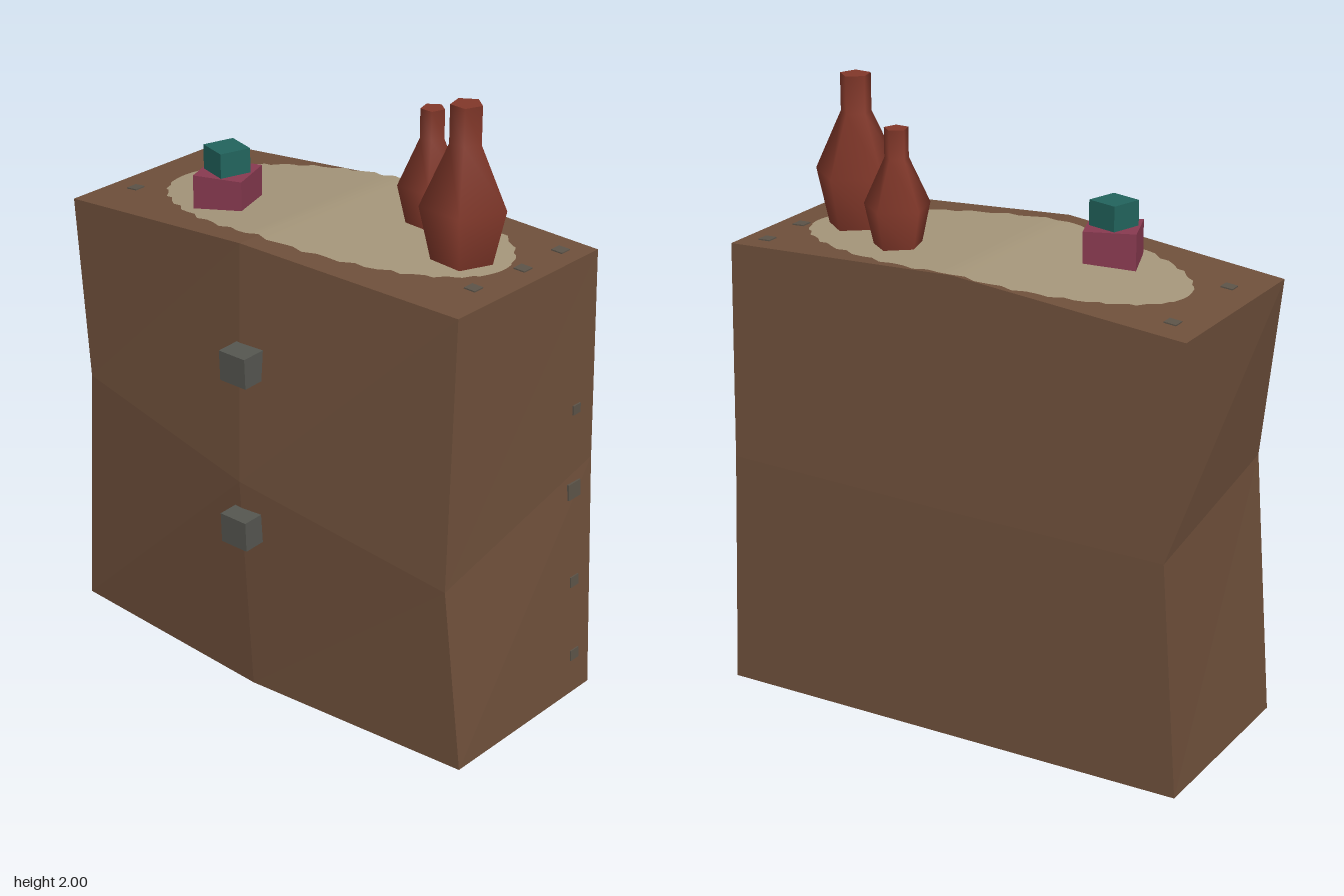
import * as THREE from 'three';

const mat = (name, color, extra = {}) => {
  const m = new THREE.MeshStandardMaterial({ color, ...extra });
  m.name = name;
  return m;
};

// Height of the sagging top, with its ridge near the middle
const RIDGE = -0.04;
const topY = (x) => x < RIDGE
  ? 1.53 - (RIDGE - x) * 0.097
  : 1.53 - (x - RIDGE) * 0.031;

export function createModel() {
  const wood = mat('wood', 0x6f503b, { side: THREE.DoubleSide });
  const cloth = mat('cloth', 0xa5967a, { side: THREE.DoubleSide });
  const clay = mat('clay', 0x82382a);
  const pink = mat('pink', 0x883a50);
  const teal = mat('teal', 0x22645d);
  const iron = mat('iron', 0x555650);
  const nailMetal = mat('nail metal', 0x5c5348);

  const model = new THREE.Group();
  const add = (name, geometry, material, x = 0, y = 0, z = 0, parent = model) => {
    const mesh = new THREE.Mesh(geometry, material);
    mesh.name = name;
    mesh.position.set(x, y, z);
    parent.add(mesh);
    return mesh;
  };

  // Cabinet: three warped rings (left front, mid front, right front, right back, mid back, left back)
  const rings = [
    [[-0.81, 0, 0.26], [0, 0, 0.315], [0.805, 0, 0.26], [0.805, 0, -0.41], [0, 0, -0.41], [-0.81, 0, -0.41]],
    [[-0.735, 0.86, 0.285], [0, 0.76, 0.368], [0.752, 0.62, 0.285],
      [0.76, 0.8, -0.428], [0, 0.78, -0.428], [-0.765, 0.77, -0.428]],
    [[-0.81, 0, 0.26], [RIDGE, 0, 0.308], [0.757, 0, 0.262], [0.757, 0, -0.41], [RIDGE, 0, -0.41], [-0.81, 0, -0.41]]
      .map(([x, , z]) => [x, topY(x), z]),
  ];
  const positions = [];
  const quad = (a, b, c, d) => positions.push(...a, ...b, ...c, ...a, ...c, ...d);
  for (let r = 0; r < 2; r++) {
    for (let i = 0; i < 6; i++) {
      const j = (i + 1) % 6;
      quad(rings[r][i], rings[r][j], rings[r + 1][j], rings[r + 1][i]);
    }
  }
  const t = rings[2];
  quad(t[0], t[1], t[4], t[5]);
  quad(t[1], t[2], t[3], t[4]);
  const body = new THREE.BufferGeometry();
  body.setAttribute('position', new THREE.Float32BufferAttribute(positions, 3));
  body.computeVertexNormals();
  add('cabinet', body, wood);

  // Ragged oval cloth, laid in strips that follow the top
  const clothPos = [], clothIdx = [], N = 48;
  for (let i = 0; i <= N; i++) {
    const c = -Math.cos((i / N) * Math.PI);
    const x = RIDGE + c * (c < 0 ? 0.615 : 0.69);
    const half = 0.322 * Math.sqrt(Math.max(0, 1 - c * c));
    const ragged = (k) => half + 0.009 * Math.sin(i * 2.3 + k) * (half > 0.05 ? 1 : 0);
    const y = topY(x) + 0.004;
    clothPos.push(x, y, -0.088 + ragged(0), x, y, -0.088 - ragged(2));
    if (i < N) {
      const k = i * 2;
      clothIdx.push(k, k + 2, k + 3, k, k + 3, k + 1);
    }
  }
  const clothGeo = new THREE.BufferGeometry();
  clothGeo.setAttribute('position', new THREE.Float32BufferAttribute(clothPos, 3));
  clothGeo.setIndex(clothIdx);
  clothGeo.computeVertexNormals();
  add('cloth', clothGeo, cloth);

  // Five-sided vases
  const profile = [[0.095, 0], [0.137, 0.185], [0.05, 0.375], [0.05, 0.495]]
    .map(([r, y]) => new THREE.Vector2(r, y));
  const vase = (name, x, z, scale, turn) => {
    const g = new THREE.Group();
    g.name = name;
    g.position.set(x, 1.505, z);
    g.scale.setScalar(scale);
    g.rotation.y = turn;
    add('vase body', new THREE.LatheGeometry(profile, 5), clay, 0, 0, 0, g);
    const cap = new THREE.CylinderGeometry(0.05, 0.05, 0.01, 5);
    add('vase top', cap, clay, 0, 0.49, 0, g);
    model.add(g);
  };
  vase('largeVase', 0.51, -0.07, 1, Math.PI - 0.07);
  vase('smallVase', 0.27, -0.215, 0.78, Math.PI - 0.04);

  // Stacked boxes
  add('lowerBox', new THREE.BoxGeometry(0.163, 0.13, 0.163), pink, -0.338, 1.545, 0.042).rotation.y = 0.34;
  add('upperBox', new THREE.BoxGeometry(0.106, 0.08, 0.106), teal, -0.338, 1.65, 0.044).rotation.y = -0.29;

  // Front knobs
  for (const [x, y, z] of [[0.015, 1.165, 0.358], [0.025, 0.615, 0.374]]) {
    add('knob', new THREE.BoxGeometry(0.104, 0.1, 0.1), iron, x, y, z).rotation.x = 0.04;
  }

  // Nail heads on the top and the left side
  for (const [x, z] of [[-0.71, -0.295], [-0.71, 0.08], [0.68, -0.325], [0.68, -0.14], [0.66, 0.07]]) {
    const nail = add('topNail', new THREE.BoxGeometry(0.04, 0.008, 0.04), nailMetal, x, topY(x), z);
    nail.rotation.z = x < RIDGE ? 0.097 : -0.031;
  }
  for (const [x, y, s] of [[0.797, 0.135, 0.04], [0.782, 0.4, 0.04], [0.765, 0.72, 0.06], [0.759, 1, 0.035]]) {
    add('sideNail', new THREE.BoxGeometry(0.009, s * 0.9, s), nailMetal, x, y, -0.335).rotation.z = y < 0.8 ? 0.056 : 0;
  }
  return model;
}
